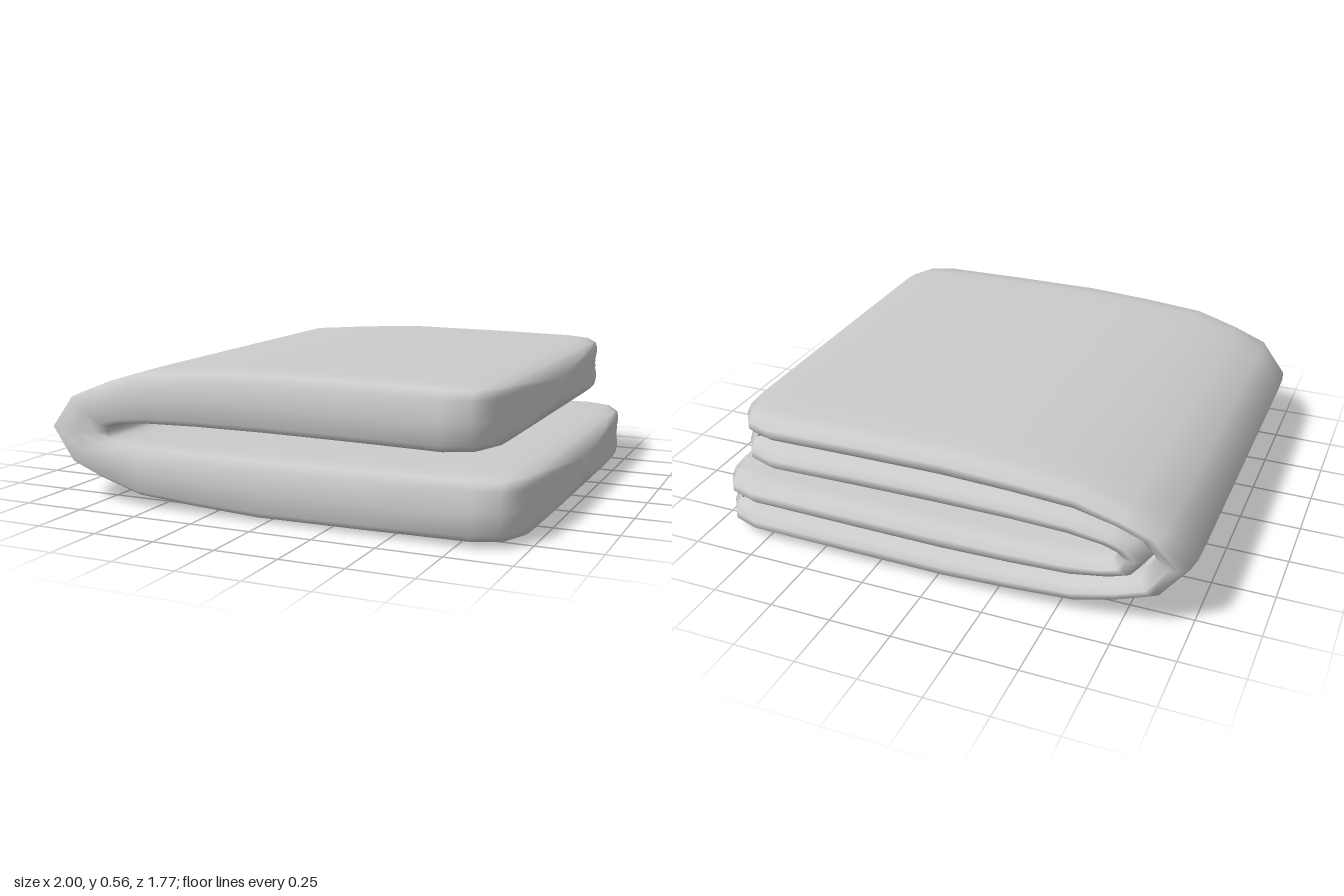
import * as THREE from 'three';

const MID_Y = 0.2825;

// Cross-section of the cloth: [z, s, groove]; s runs 0 (outer face) to 1 (inner face),
// groove is how far the point sinks into the folded back edge.
const frontEdge = [[0, 0], [0.66, 0], [0.78, 0.008], [0.85, 0.045], [0.885, 0.16], [0.885, 0.5],
  [0.885, 0.84], [0.85, 0.955], [0.78, 0.992], [0.66, 1], [0, 1]];
const backEdge = [[-0.66, 1], [-0.78, 0.992], [-0.85, 0.955], [-0.885, 0.84], [-0.885, 0.72],
  [-0.86, 0.61], [-0.8, 0.54, 0], [-0.885, 0.5, 0.14], [-0.8, 0.46, 0], [-0.86, 0.39],
  [-0.885, 0.28], [-0.885, 0.16], [-0.85, 0.045], [-0.78, 0.008], [-0.66, 0]];
const section = [...frontEdge, ...backEdge];

// Upper half of the fold, from the loose end to the crease: [outer x, outer y, inner x, inner y]
const body = [
  [0.35, 0.563, 0.35, 0.324], [-0.05, 0.565, 0, 0.328], [-0.32, 0.55, -0.3, 0.328],
  [-0.57, 0.53, -0.53, 0.323], [-0.75, 0.475, -0.66, 0.313], [-0.89, 0.42, -0.7, 0.302]
];
// Rounded loose end: [distance from tip, thickness scale, width scale, groove depth]
const endRings = [
  [0, 0.42, 0.12, 0], [0.014, 0.68, 0.6, 0], [0.04, 0.88, 0.87, 0.25],
  [0.095, 0.97, 0.96, 0.6], [0.2, 1, 1, 1]
];

function halfStations(tipX) {
  const ends = endRings.map(([d, thick, wide, groove]) => ({
    o: [tipX - d, 0.558], i: [tipX - d, 0.318], thick, wide, groove
  }));
  const rest = body.map(([ox, oy, ix, iy]) => ({
    o: [ox, oy], i: [ix, iy], thick: 1, wide: 1, groove: 1
  }));
  return [...ends, ...rest];
}

function towelGeometry() {
  const upper = halfStations(0.89);
  const flip = ([x, y]) => [x, 2 * MID_Y - y];
  const lower = halfStations(1).map((r) => ({ ...r, o: flip(r.o), i: flip(r.i) })).reverse();
  const crease = { o: [-1, MID_Y], i: [-0.71, MID_Y], thick: 1, wide: 0.985, groove: 1 };
  const rings = [...upper, crease, ...lower];
  const n = section.length;
  const pos = [];
  const index = [];

  for (const r of rings) {
    for (const [z, s, extra] of section) {
      const t = 0.5 + (s - 0.5) * r.thick;
      // groove points fade back to the flat edge near the loose ends
      let zz = z;
      if (extra !== undefined) {
        const deep = extra > 0 ? -0.885 + extra : z;
        zz = THREE.MathUtils.lerp(-0.885, deep, r.groove);
      }
      pos.push(
        THREE.MathUtils.lerp(r.o[0], r.i[0], t),
        THREE.MathUtils.lerp(r.o[1], r.i[1], t),
        zz * r.wide
      );
    }
  }
  for (let k = 0; k < rings.length - 1; k++) {
    for (let j = 0; j < n; j++) {
      const a = k * n + j, b = k * n + (j + 1) % n;
      index.push(a, a + n, b + n, a, b + n, b);
    }
  }
  // close both loose ends
  [0, rings.length - 1].forEach((k, side) => {
    const { o, i } = rings[k];
    const c = pos.length / 3;
    pos.push((o[0] + i[0]) / 2, (o[1] + i[1]) / 2, 0);
    for (let j = 0; j < n; j++) {
      const a = k * n + j, b = k * n + (j + 1) % n;
      if (side === 0) index.push(c, a, b);
      else index.push(c, b, a);
    }
  });

  const g = new THREE.BufferGeometry();
  g.setAttribute('position', new THREE.Float32BufferAttribute(pos, 3));
  g.setIndex(index);
  g.computeVertexNormals();
  return g;
}

export function createModel() {
  const group = new THREE.Group();
  group.name = 'foldedTowel';
  const cloth = new THREE.Mesh(towelGeometry(), new THREE.MeshStandardMaterial({ color: 0xcccccc }));
  cloth.name = 'foldedCloth';
  group.add(cloth);
  return group;
}
